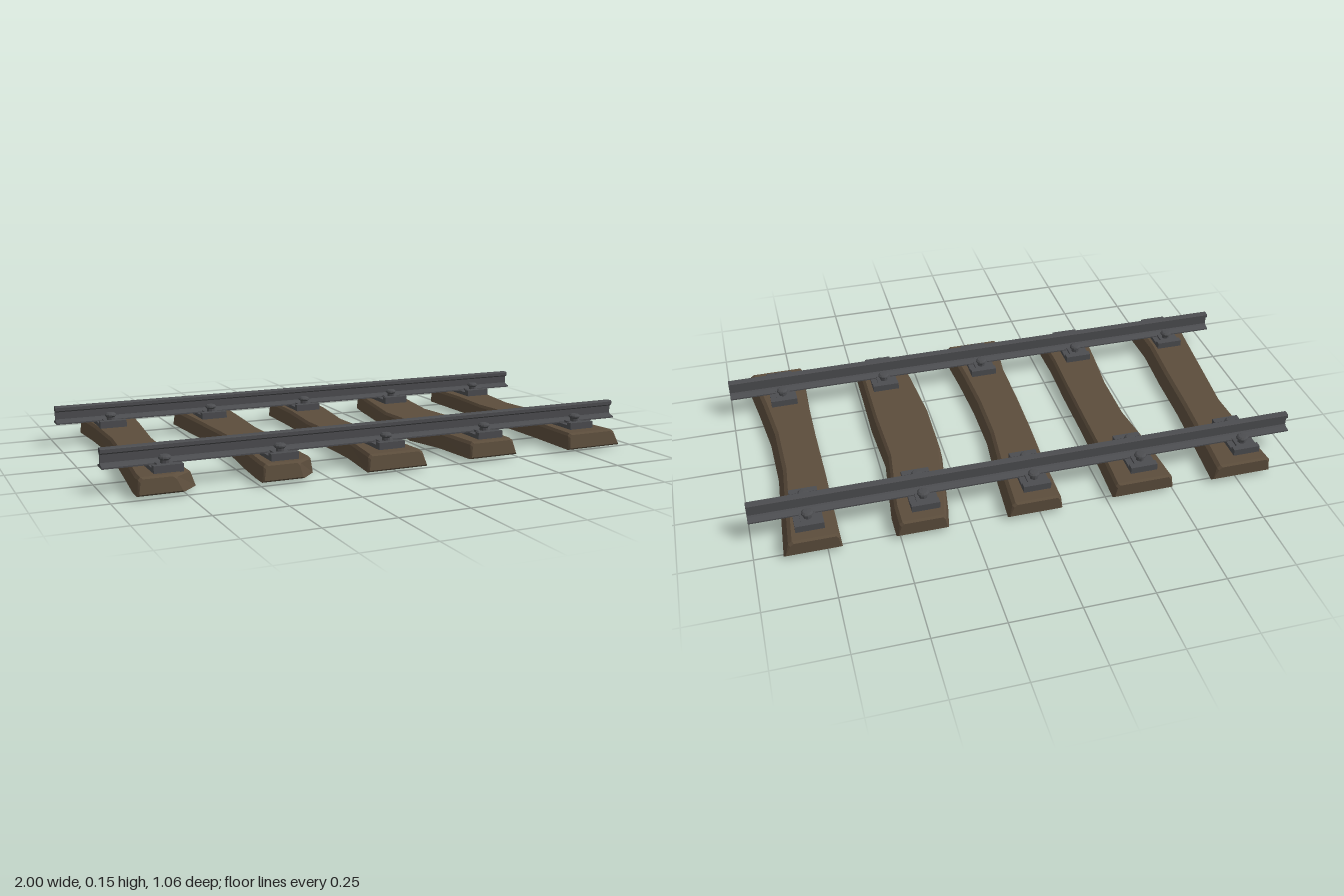
import * as THREE from 'three';

const wood = new THREE.MeshStandardMaterial({ color: 0x5c4d3c, flatShading: true });
const steel = new THREE.MeshStandardMaterial({ color: 0x4c4d50, flatShading: true });

const RAIL_Z = [0.365, -0.384];
const TIE_X = [-0.8, -0.4, 0, 0.4, 0.8];

// Each sleeper: lean of its left and right flanks, then stations [z, xMin, xMax, top, bottom]
const TIES = [
  { lean: [0.01, 0.025], st: [[-0.53, -0.88, -0.65], [-0.35, -0.867, -0.665], [-0.12, -0.86, -0.685, 0.068],
    [0.1, -0.88, -0.695], [0.3, -0.9, -0.71], [0.44, -0.915, -0.705], [0.505, -0.915, -0.76]] },
  { lean: [0.012, 0.012], st: [[-0.53, -0.5, -0.27], [-0.3, -0.485, -0.28], [-0.1, -0.465, -0.285, 0.067],
    [0.1, -0.465, -0.287], [0.3, -0.485, -0.293], [0.44, -0.495, -0.29], [0.505, -0.495, -0.345]] },
  { lean: [0.01, 0.022], st: [[-0.535, -0.08, 0.12], [-0.3, -0.082, 0.105], [-0.1, -0.092, 0.085, 0.067],
    [0.1, -0.095, 0.085], [0.3, -0.095, 0.095], [0.525, -0.12, 0.112]] },
  { lean: [0.01, 0.018], st: [[-0.53, 0.33, 0.515], [-0.43, 0.312, 0.515], [-0.14, 0.268, 0.482, 0.067],
    [0.1, 0.265, 0.492, 0.073, 0], [0.3, 0.28, 0.492], [0.505, 0.295, 0.492]] },
  { lean: [0.007, 0.028], st: [[-0.53, 0.7, 0.9], [-0.3, 0.702, 0.885], [-0.12, 0.702, 0.872, 0.067],
    [0.1, 0.706, 0.877], [0.3, 0.706, 0.9], [0.53, 0.7, 0.93]] },
];

// Six-sided timber section, counter-clockwise seen from +z
function section([z, l, r, top = 0.072, bottom = 0.012], [ll, lr], inset, slope) {
  const a = bottom + inset, b = top - inset, c = b - 0.01;
  l += inset;
  r -= inset;
  return [[l, a], [r, a], [r - lr * 0.7, c], [r - lr - 0.005, b], [l + ll + 0.005, b], [l + ll * 0.7, c]]
    .map(([x, y]) => [x, y, z - slope * (y - bottom)]);
}

function sleeperGeometry({ lean, st }) {
  const first = st[0], last = st[st.length - 1];
  const shift = (s, dz) => [s[0] + dz, ...s.slice(1)];
  const rings = [
    section(first, lean, 0.006, 0),
    section(shift(first, 0.008), lean, 0, 0),
    ...st.slice(1, -1).map((s) => section(s, lean, 0, 0)),
    section(shift(last, -0.008), lean, 0, 0.2),
    section(last, lean, 0.006, 0.2),
  ];
  const n = 6, index = [];
  for (let k = 0; k < rings.length - 1; k++) {
    for (let i = 0; i < n; i++) {
      const a = k * n + i, b = k * n + (i + 1) % n;
      index.push(a, b, b + n, a, b + n, a + n);
    }
  }
  // End grain caps
  const e = (rings.length - 1) * n;
  for (let i = 1; i < n - 1; i++) index.push(0, i + 1, i, e, e + i, e + i + 1);
  const g = new THREE.BufferGeometry();
  g.setAttribute('position', new THREE.Float32BufferAttribute(rings.flat(2), 3));
  g.setIndex(index);
  g.computeVertexNormals();
  return g;
}

// I-shaped rail profile, mirrored about its web and extruded along x
function railGeometry() {
  const half = [[0.03, 0.085], [0.03, 0.09], [0.008, 0.096], [0.0035, 0.101], [0.0035, 0.128],
    [0.014, 0.134], [0.014, 0.146], [0.01, 0.15]];
  const pts = [...half, ...half.map(([x, y]) => [-x, y]).reverse()];
  const shape = new THREE.Shape(pts.map(([x, y]) => new THREE.Vector2(x, y)));
  const g = new THREE.ExtrudeGeometry(shape, { depth: 2, bevelEnabled: false });
  return g.translate(0, 0, -1).rotateY(Math.PI / 2);
}

function add(parent, name, geometry, material, x = 0, y = 0, z = 0) {
  const m = new THREE.Mesh(geometry, material);
  m.name = name;
  m.position.set(x, y, z);
  parent.add(m);
  return m;
}

const plateGeo = new THREE.BoxGeometry(0.1, 0.016, 0.2);
const shoulderGeo = new THREE.BoxGeometry(0.1, 0.014, 0.024);
const clipGeo = new THREE.BoxGeometry(0.055, 0.009, 0.048);
const nutGeo = new THREE.CylinderGeometry(0.015, 0.015, 0.018, 8);
const headGeo = new THREE.LatheGeometry(
  [[0, 0], [0.015, 0], [0.022, 0.006], [0.021, 0.011], [0.015, 0.016], [0, 0.017]]
    .map(([x, y]) => new THREE.Vector2(x, y)), 12);

// Base plate with a clip and bolt on each side of the rail
function fastening() {
  const g = new THREE.Group();
  g.name = 'railFastening';
  add(g, 'basePlate', plateGeo, steel, 0, 0.078, 0);
  for (const s of [1, -1]) {
    add(g, 'plateShoulder', shoulderGeo, steel, 0, 0.09, s * 0.088);
    add(g, 'railClip', clipGeo, steel, 0, 0.089, s * 0.05);
    add(g, 'boltShank', nutGeo, steel, 0, 0.097, s * 0.052);
    add(g, 'boltHead', headGeo, steel, 0, 0.104, s * 0.052);
  }
  return g;
}

export function createModel() {
  const model = new THREE.Group();
  model.name = 'railwayTrack';

  TIES.forEach((t) => add(model, 'sleeper', sleeperGeometry(t), wood));

  const railGeo = railGeometry();
  for (const z of RAIL_Z) {
    add(model, 'rail', railGeo, steel, 0, 0, z);
    for (const x of TIE_X) {
      const f = fastening();
      f.position.set(x, 0, z);
      model.add(f);
    }
  }
  return model;
}
